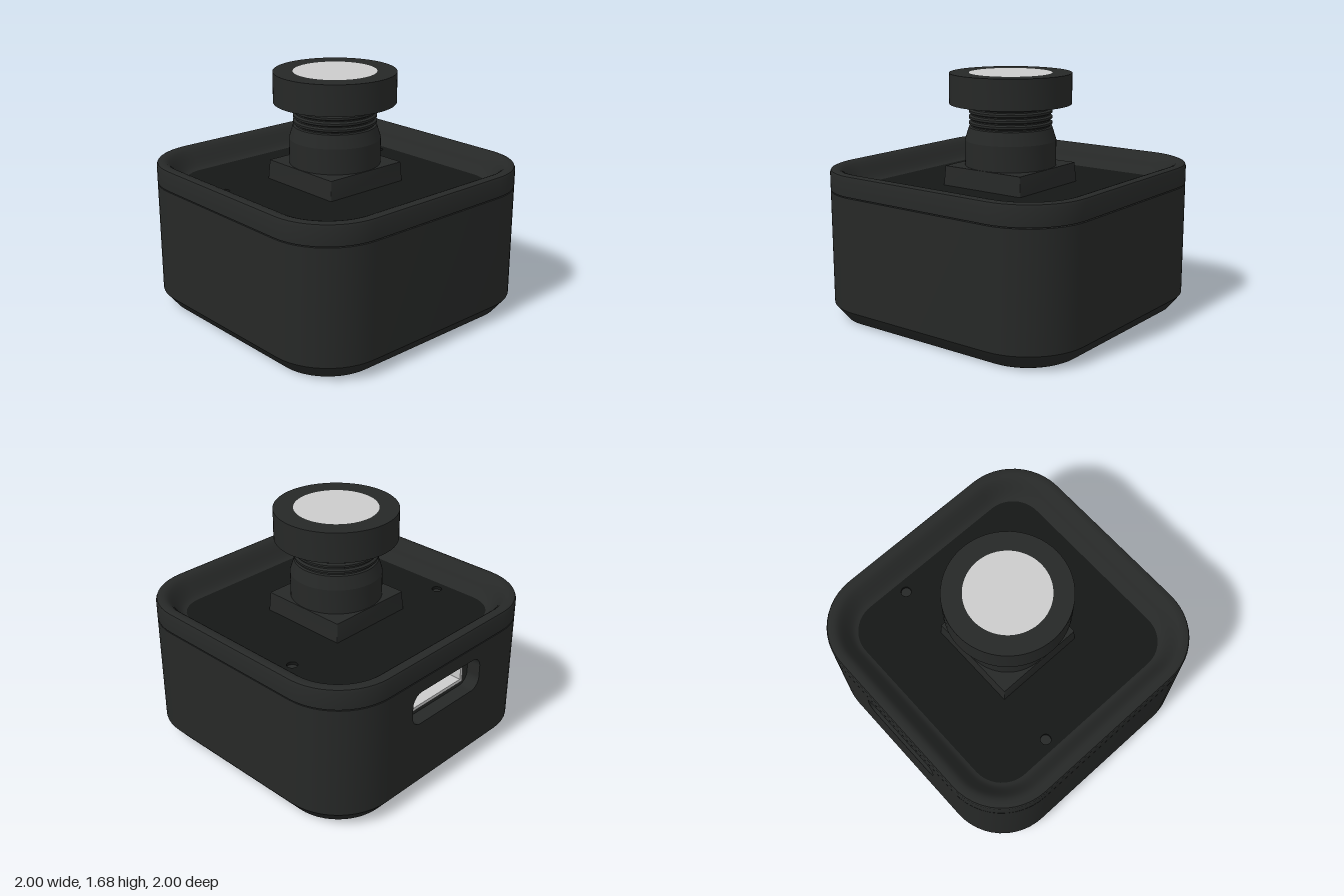
import * as THREE from 'three';
import { toCreasedNormals } from 'three/addons/utils/BufferGeometryUtils.js';

const paint = (color, side = THREE.FrontSide) => new THREE.MeshStandardMaterial({ color, side });
const shellMat = paint(0x262827);
const darkMat = paint(0x151716);
const greyMat = paint(0xcccccc);
const metalMat = paint(0xcccccc, THREE.DoubleSide);

// Skin over rounded-square rings [half size, corner radius, y], going outward and up.
// skipBack leaves out the flat rear quad above that ring.
function loftRings(rings, skipBack = -1) {
  const N = 12, count = 4 * (N + 1), pos = [], idx = [];
  for (const [half, r, y] of rings) {
    for (let k = 0; k < 4; k++) {
      const cx = (k === 0 || k === 3 ? 1 : -1) * (half - r);
      const cz = (k < 2 ? 1 : -1) * (half - r);
      for (let s = 0; s <= N; s++) {
        const a = (k + s / N) * Math.PI / 2;
        pos.push(cx + r * Math.cos(a), y, cz + r * Math.sin(a));
      }
    }
  }
  for (let j = 0; j < rings.length - 1; j++) {
    for (let i = 0; i < count; i++) {
      if (j === skipBack && i === 2 * (N + 1) + N) continue;
      const n = (i + 1) % count;
      const a = j * count + i, b = j * count + n, c = a + count, d = b + count;
      idx.push(a, c, b, b, c, d);
    }
  }
  const g = new THREE.BufferGeometry();
  g.setAttribute('position', new THREE.Float32BufferAttribute(pos, 3));
  g.setIndex(idx);
  return toCreasedNormals(g, 0.5);
}

function lathe(points) {
  const g = new THREE.LatheGeometry(points.map(([x, y]) => new THREE.Vector2(x, y)), 64);
  return toCreasedNormals(g, 0.25);
}

// Rounded rectangle centred on (cx, cy)
function roundRect(w, h, r, cx = 0, cy = 0) {
  const s = new THREE.Shape(), x = w / 2 - r, y = h / 2 - r;
  s.absarc(cx + x, cy + y, r, 0, Math.PI / 2);
  s.absarc(cx - x, cy + y, r, Math.PI / 2, Math.PI);
  s.absarc(cx - x, cy - y, r, Math.PI, Math.PI * 1.5);
  s.absarc(cx + x, cy - y, r, Math.PI * 1.5, Math.PI * 2);
  s.closePath();
  return s;
}

// Socket outline with its two upper corners cut off
function socketShape(grow, cy) {
  const w = 0.27 + grow, b = cy - 0.08 - grow, t = cy + 0.08 + grow;
  return new THREE.Shape([[-w, b], [w, b], [w, cy + 0.01], [w - 0.08, t], [-w + 0.08, t], [-w, cy + 0.01]]
    .map(([x, y]) => new THREE.Vector2(x, y)));
}

const extrude = (shape, depth) =>
  new THREE.ExtrudeGeometry(shape, { depth, bevelEnabled: false, curveSegments: 12 });

export function createModel() {
  const model = new THREE.Group();
  const add = (name, geometry, material, x = 0, y = 0, z = 0, parent = model) => {
    const m = new THREE.Mesh(geometry, material);
    m.name = name;
    m.position.set(x, y, z);
    parent.add(m);
    return m;
  };

  // Case: underside groove, foot chamfer, walls and the recessed seam
  add('caseBody', loftRings([
    [0.6, 0.005, 0.06], [0.68, 0.1, 0.06], [0.7, 0.12, 0], [0.9, 0.33, 0], [0.92, 0.35, 0.01],
    [1, 0.43, 0.11], [1, 0.43, 0.9], [0.95, 0.38, 0.9], [0.95, 0.38, 0.91],
  ], 5), shellMat);
  add('basePad', new THREE.BoxGeometry(1.2, 0.1, 1.2), darkMat, 0, 0.055, 0);

  // Lid: outer band, soft lip and the slope down to the inner floor
  const lid = [[0.95, 0.38, 0.907], [1, 0.43, 0.907], [1, 0.43, 1.025], [0.993, 0.423, 1.043], [0.975, 0.405, 1.05]];
  for (let i = 0; i <= 8; i++) {
    const a = (i / 8) * Math.PI / 2;
    const half = 0.81 + 0.13 * Math.cos(a);
    lid.push([half, half - 0.57, 0.92 + 0.13 * (1 - Math.sin(a)) ** 0.8 * 1]);
  }
  lid.push([0.8, 0.23, 0.905]);
  // order the lip as a smooth convex-to-concave slope
  for (let i = 5; i < 14; i++) {
    const t = (i - 5) / 8, half = 0.95 - 0.15 * t;
    lid[i] = [half, half - 0.57, 0.91 + 0.07 * (1 + Math.cos(Math.PI * t))];
  }
  add('lidRim', loftRings(lid), shellMat);

  // Inner floor with two pinholes
  const floorShape = roundRect(1.62, 1.62, 0.24);
  for (const s of [-1, 1]) {
    const hole = new THREE.Path();
    hole.absarc(s * 0.72, 0.31, 0.036, 0, Math.PI * 2);
    floorShape.holes.push(hole);
  }
  const floor = extrude(floorShape, 0.04);
  floor.rotateX(-Math.PI / 2);
  add('innerFloor', floor, darkMat, 0, 0.87, 0);
  for (const s of [-1, 1]) {
    add('pinhole', new THREE.CylinderGeometry(0.036, 0.036, 0.02, 24), shellMat, s * 0.72, 0.88, -0.31);
  }

  // Lens mount block, barrel with thread, and head
  add('lensMount', loftRings([[0.33, 0.005, 0.9], [0.32, 0.005, 1.045], [0.01, 0.005, 1.045]]), shellMat);
  const barrel = [[0.315, 1.04], [0.315, 1.22], [0.287, 1.31]];
  for (let i = 0; i < 4; i++) {
    const y = 1.315 + i * 0.04;
    barrel.push([0.272, y], [0.272, y + 0.008], [0.287, y + 0.016], [0.287, y + 0.03]);
  }
  barrel.push([0.272, 1.475]);
  add('lensBarrel', lathe(barrel), shellMat);
  add('lensHead', lathe([[0.26, 1.47], [0.42, 1.47], [0.42, 1.68], [0.285, 1.68]]), shellMat);
  const glass = new THREE.CircleGeometry(0.285, 64);
  glass.rotateX(-Math.PI / 2);
  add('lensGlass', glass, greyMat, 0, 1.68, 0);

  // Rear wall panel with the port opening
  const port = new THREE.Group();
  port.name = 'rearPort';
  model.add(port);
  const py = 0.685;
  const wall = new THREE.Shape([[-0.57, 0.11], [0.57, 0.11], [0.57, 0.9], [-0.57, 0.9]]
    .map(([x, y]) => new THREE.Vector2(x, y)));
  wall.holes.push(roundRect(0.68, 0.24, 0.08, 0, py));
  add('rearWall', extrude(wall, 0.1), shellMat, 0, 0, -1, port);

  // Recess back with the metal socket, tongue and contacts
  const plate = roundRect(0.8, 0.34, 0.02, 0, py);
  plate.holes.push(socketShape(0.01, py));
  add('portRecess', extrude(plate, 0.02), shellMat, 0, 0, -0.9, port);
  const sleeve = socketShape(0.012, py);
  sleeve.holes.push(socketShape(-0.012, py));
  add('socketSleeve', extrude(sleeve, 0.25), metalMat, 0, 0, -0.905, port);
  add('socketBack', extrude(socketShape(0, py), 0.01), metalMat, 0, 0, -0.66, port);
  add('socketTongue', new THREE.BoxGeometry(0.34, 0.035, 0.2), darkMat, 0, py + 0.025, -0.76, port);
  for (let i = -2; i <= 2; i++) {
    add('contact', new THREE.BoxGeometry(0.025, 0.012, 0.19), greyMat, i * 0.06, py + 0.003, -0.765, port);
  }
  return model;
}
